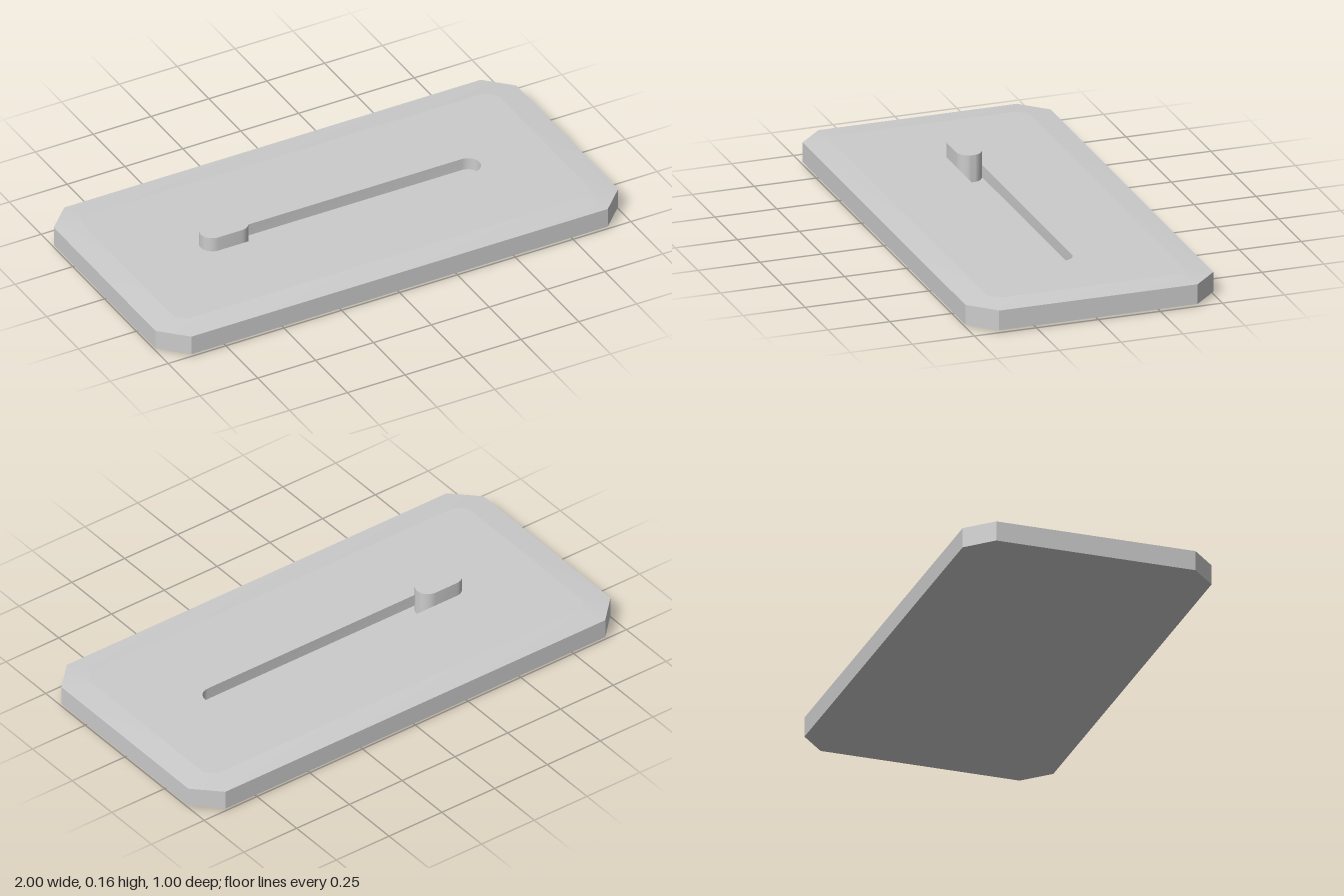
import * as THREE from 'three';
import { toCreasedNormals } from 'three/addons/utils/BufferGeometryUtils.js';

const material = new THREE.MeshStandardMaterial({ color: 0xcccccc });
const FLOOR = 0.05; // height of the slot's floor
const TOP = 0.1;

// Rectangle with cut corners, counter-clockwise
function octagon(hx, hz, c) {
  return [
    [hx, -hz + c], [hx, hz - c], [hx - c, hz], [-hx + c, hz],
    [-hx, hz - c], [-hx, -hz + c], [-hx + c, -hz], [hx - c, -hz],
  ].map(([x, y]) => new THREE.Vector2(x, y));
}

// Long outline with round ends, counter-clockwise
function stadium(x0, x1, r, steps = 16) {
  const points = [];
  for (const [cx, start] of [[x1 - r, -Math.PI / 2], [x0 + r, Math.PI / 2]]) {
    for (let i = 0; i <= steps; i++) {
      const a = start + (Math.PI * i) / steps;
      points.push(new THREE.Vector2(cx + r * Math.cos(a), r * Math.sin(a)));
    }
  }
  return points;
}

// Side walls joining a stack of outlines; each ring is [points, height]
function walls(rings) {
  const pos = [];
  for (let k = 0; k + 1 < rings.length; k++) {
    const [lo, h0] = rings[k];
    const [hi, h1] = rings[k + 1];
    for (let i = 0; i < lo.length; i++) {
      const j = (i + 1) % lo.length;
      const a = [lo[i].x, lo[i].y, h0], b = [lo[j].x, lo[j].y, h0];
      const c = [hi[j].x, hi[j].y, h1], d = [hi[i].x, hi[i].y, h1];
      pos.push(...a, ...b, ...c, ...a, ...c, ...d);
    }
  }
  const geo = new THREE.BufferGeometry();
  geo.setAttribute('position', new THREE.Float32BufferAttribute(pos, 3));
  return toCreasedNormals(geo, 0.5);
}

// Flat face at a given height
function cap(points, height, hole) {
  const shape = new THREE.Shape(points);
  if (hole) shape.holes.push(new THREE.Path(hole));
  return new THREE.ShapeGeometry(shape).translate(0, 0, height);
}

export function createModel() {
  const model = new THREE.Group();
  const add = (parent, name, geo) => {
    const mesh = new THREE.Mesh(geo.rotateX(-Math.PI / 2), material);
    mesh.name = name;
    parent.add(mesh);
  };

  // Base plate with cut corners and a shallow bevel above and below
  const plate = new THREE.Group();
  plate.name = 'basePlate';
  model.add(plate);
  const rim = octagon(1, 0.5, 0.1);
  const face = octagon(0.9, 0.4, 0.1 - 0.1 * (2 - Math.SQRT2));
  const slot = stadium(-0.585, 0.62, 0.05);
  add(plate, 'plateSides', walls([[face, 0], [rim, 0.01], [rim, 0.09], [face, TOP]]));
  add(plate, 'plateTop', cap(face, TOP, slot));
  add(plate, 'plateBottom', cap(face, 0).rotateX(Math.PI));

  // Recessed slot: walls face inward
  add(plate, 'slotWalls', walls([[slot, TOP], [slot, FLOOR]]));
  add(plate, 'slotFloor', cap(slot, FLOOR));

  // Slider knob standing at the slot's right end
  const knob = new THREE.Group();
  knob.name = 'sliderKnob';
  model.add(knob);
  const outline = stadium(-0.585, -0.385, 0.05);
  add(knob, 'knobSides', walls([[outline, FLOOR], [outline, 0.16]]));
  add(knob, 'knobTop', cap(outline, 0.16));

  return model;
}
